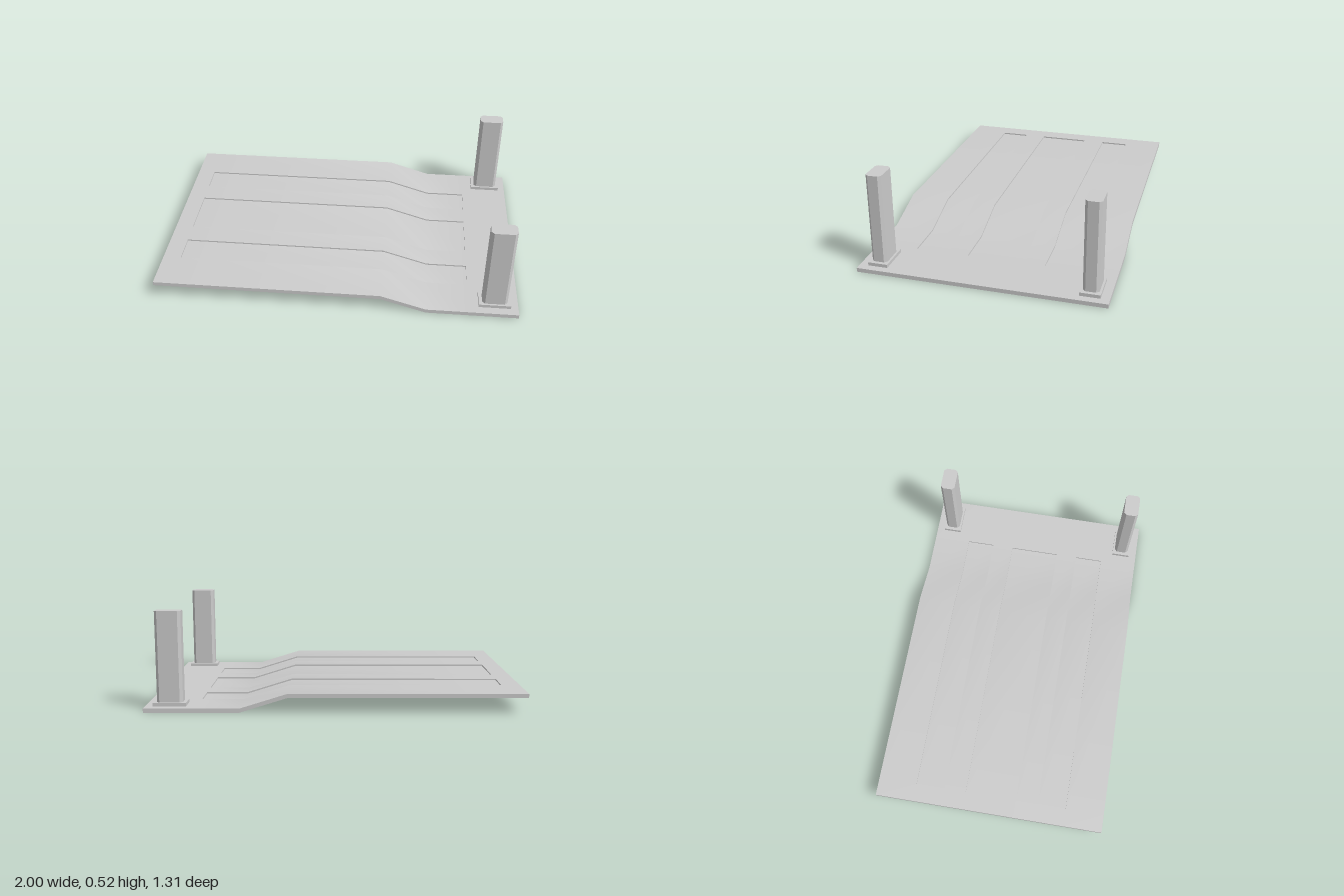
import * as THREE from 'three';
import { toCreasedNormals } from 'three/addons/utils/BufferGeometryUtils.js';

const material = new THREE.MeshStandardMaterial({ color: 0xcccccc });
const THICK = 0.022, RECESS = 0.008, DROP = 0.078;

// Underside height along x: high platform, ramp, low platform
const floorY = x => DROP * (1 - THREE.MathUtils.clamp((x - 0.25) / 0.25, 0, 1));

// Bent plate with three shallow recessed panels, built as a grid of cells
function deckGeometry() {
  const xs = [-1, -0.9, 0.25, 0.5, 0.727, 1];
  const zs = [-0.655, -0.436, -0.273, -0.147, 0.147, 0.273, 0.436, 0.655];
  const nx = xs.length - 1, nz = zs.length - 1;
  const pos = [];
  const quad = (a, b, c, d) => pos.push(...a, ...b, ...c, ...a, ...c, ...d);

  // Height above the underside; 0 outside the plate
  const height = (i, j) => {
    if (i < 0 || j < 0 || i >= nx || j >= nz) return 0;
    return i > 0 && i < nx - 1 && j % 2 === 1 ? THICK - RECESS : THICK;
  };
  const point = (x, h, z) => [x, floorY(x) + h, z];

  for (let i = 0; i < nx; i++) {
    for (let j = 0; j < nz; j++) {
      const [x0, x1, z0, z1] = [xs[i], xs[i + 1], zs[j], zs[j + 1]];
      const h = height(i, j);
      quad(point(x0, h, z0), point(x0, h, z1), point(x1, h, z1), point(x1, h, z0));
      quad(point(x0, 0, z0), point(x1, 0, z0), point(x1, 0, z1), point(x0, 0, z1));
      // Walls down to each lower neighbour
      const wall = (low, ax, az, bx, bz) => {
        if (low < h) quad(point(ax, low, az), point(bx, low, bz), point(bx, h, bz), point(ax, h, az));
      };
      wall(height(i, j + 1), x0, z1, x1, z1);
      wall(height(i, j - 1), x1, z0, x0, z0);
      wall(height(i + 1, j), x1, z1, x1, z0);
      wall(height(i - 1, j), x0, z0, x0, z1);
    }
  }
  const geometry = new THREE.BufferGeometry();
  geometry.setAttribute('position', new THREE.Float32BufferAttribute(pos, 3));
  return toCreasedNormals(geometry, 0.5);
}

// Upright column with chamfered corners, standing on y = 0
function columnGeometry(width, depth, height, cut) {
  const w = width / 2, d = depth / 2;
  const shape = new THREE.Shape([
    [w - cut, -d], [w, -d + cut], [w, d - cut], [w - cut, d],
    [-w + cut, d], [-w, d - cut], [-w, -d + cut], [-w + cut, -d],
  ].map(([x, y]) => new THREE.Vector2(x, y)));
  return new THREE.ExtrudeGeometry(shape, { depth: height, bevelEnabled: false })
    .rotateX(-Math.PI / 2);
}

export function createModel() {
  const model = new THREE.Group();
  model.name = 'rampPlatform';
  const add = (parent, name, geometry, x = 0, y = 0, z = 0) => {
    const mesh = new THREE.Mesh(geometry, material);
    mesh.name = name;
    mesh.position.set(x, y, z);
    parent.add(mesh);
  };

  add(model, 'deck', deckGeometry());

  // Mirrored posts at the low end, each on a base plate
  const baseTop = 0.04;
  const base = new THREE.BoxGeometry(0.175, baseTop - THICK, 0.106);
  const column = columnGeometry(0.137, 0.084, 0.523 - baseTop, 0.015);
  for (const side of [1, -1]) {
    const post = new THREE.Group();
    post.name = side > 0 ? 'frontPost' : 'backPost';
    post.position.set(0.872, 0, side * 0.556);
    add(post, 'basePlate', base, 0, (THICK + baseTop) / 2, 0);
    add(post, 'column', column, 0, baseTop, 0);
    model.add(post);
  }
  return model;
}
